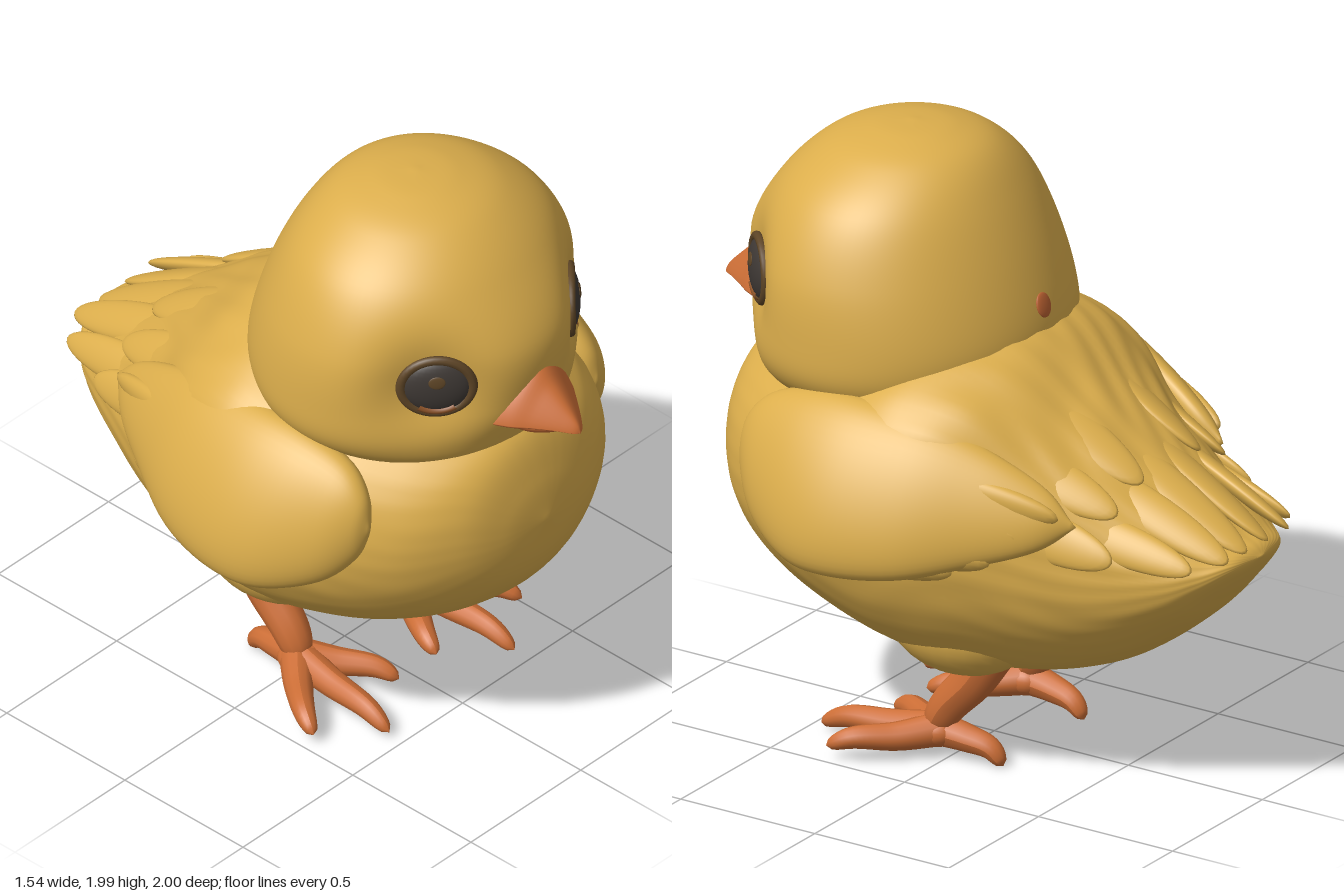
import * as THREE from 'three';
import { mergeVertices } from 'three/addons/utils/BufferGeometryUtils.js';

const mat = (name, color) => {
  const m = new THREE.MeshStandardMaterial({ color });
  m.name = name;
  return m;
};

// Smooth loft through elliptical sections [z, x, y, rx, ry, lean], listed from high z to low z.
function loft(sections, rings, sides, shape) {
  const size = 6;
  const data = new Float32Array(sections.flatMap(s => [...s, 0].slice(0, size)));
  const curve = new THREE.CubicInterpolant(sections.map((_, i) => i), data, size);
  const pos = [], index = [];
  for (let i = 0; i <= rings; i++) {
    const [z, x, y, rx, ry, lean] = curve.evaluate((i / rings) * (sections.length - 1));
    for (let j = 0; j < sides; j++) {
      const a = (j / sides) * Math.PI * 2;
      let u = Math.cos(a) * Math.max(rx, 0), v = Math.sin(a) * Math.max(ry, 0);
      if (shape) [u, v] = shape(u, v, a, z, ry);
      pos.push(x + u - lean * v, y + v, z);
      if (i < rings) {
        const k = (j + 1) % sides, p = i * sides, q = p + sides;
        index.push(p + j, q + j, p + k, q + j, q + k, p + k);
      }
    }
  }
  const g = new THREE.BufferGeometry();
  g.setAttribute('position', new THREE.Float32BufferAttribute(pos, 3));
  g.setIndex(index);
  const merged = mergeVertices(g, 1e-5);
  merged.computeVertexNormals();
  return merged;
}

// Round limb that tapers from radius r0 to r1 and closes at its far end.
function limb(points, r0, r1) {
  const path = new THREE.CatmullRomCurve3(points.map(p => new THREE.Vector3(...p)));
  const seg = 24, sides = 12;
  const g = new THREE.TubeGeometry(path, seg, 1, sides);
  const p = g.attributes.position, v = new THREE.Vector3();
  for (let i = 0; i <= seg; i++) {
    const t = i / seg, c = path.getPointAt(t);
    const r = (r0 + (r1 - r0) * t) * Math.sqrt(Math.max(0, 1 - t ** 10));
    for (let j = 0; j <= sides; j++) {
      const k = i * (sides + 1) + j;
      v.fromBufferAttribute(p, k).sub(c).multiplyScalar(r).add(c);
      p.setXYZ(k, v.x, v.y, v.z);
    }
  }
  g.computeVertexNormals();
  return g;
}

export function createModel() {
  const root = new THREE.Group();
  root.name = 'chick';
  const down = mat('yellowDown', 0xdcae4c);
  const orange = mat('orangeSkin', 0xcc6e36);
  const dark = mat('darkEye', 0x3f3935);
  const brown = mat('brownRim', 0x5e4526);
  const amber = mat('amberLid', 0x8f5428);
  const red = mat('redSpot', 0xbc6232);
  const ball = new THREE.SphereGeometry(1, 28, 18);

  const add = (name, geo, material, parent = root) => {
    const m = new THREE.Mesh(geo, material);
    m.name = name;
    parent.add(m);
    return m;
  };
  const feather = (name, a, b, w, t, roll) => {
    const from = new THREE.Vector3(...a), to = new THREE.Vector3(...b);
    const m = add(name, ball, down);
    m.position.copy(from).lerp(to, 0.5);
    m.lookAt(to);
    m.rotateZ(roll);
    m.scale.set(t, w, from.distanceTo(to) / 2);
  };

  // Body: [z, bottom, top, half width], with full shoulders and feather ridges on the back
  const body = [
    [0.865, 0.93, 0.93, 0], [0.84, 0.77, 1.08, 0.18], [0.78, 0.65, 1.23, 0.33],
    [0.65, 0.53, 1.3, 0.48], [0.45, 0.42, 1.36, 0.585], [0.2, 0.33, 1.42, 0.635],
    [0, 0.295, 1.46, 0.64], [-0.2, 0.31, 1.41, 0.595], [-0.4, 0.345, 1.26, 0.5],
    [-0.6, 0.43, 1.11, 0.405], [-0.8, 0.58, 0.96, 0.31], [-0.9, 0.69, 0.89, 0.235],
    [-0.97, 0.78, 0.86, 0.14], [-1, 0.83, 0.83, 0],
  ].map(([z, lo, hi, w]) => [z, 0, (lo + hi) / 2, w, (hi - lo) / 2]);
  add('body', loft(body, 110, 144, (u, v, a, z) => {
    const back = THREE.MathUtils.smoothstep(-z, -0.1, 0.3) * (0.45 + 0.55 * Math.sin(a));
    const ridge = Math.sin(20 * a + 2.5 * Math.sin(7 * z)) * Math.sin(11 * z + 3 * Math.sin(5 * a));
    const k = 1 + 0.016 * Math.max(back, 0.15) * ridge;
    const shoulder = v > 0 ? 0.14 * Math.sin(2 * a) ** 2 * Math.exp(-(((z - 0.05) / 0.45) ** 2)) : 0;
    return [u * k * (1 + shoulder), v * k];
  }), down);

  // Head: [height, 0, -z centre, half width, half depth], stood upright, with eye hollows
  const head = loft([
    [2, 0, -0.3, 0, 0], [1.985, 0, -0.3, 0.14, 0.14], [1.93, 0, -0.31, 0.285, 0.27],
    [1.8, 0, -0.33, 0.435, 0.385], [1.6, 0, -0.345, 0.525, 0.49], [1.4, 0, -0.315, 0.547, 0.515],
    [1.27, 0, -0.305, 0.53, 0.485], [1.18, 0, -0.3, 0.44, 0.44], [1.08, 0, -0.3, 0.25, 0.3],
    [1.03, 0, -0.3, 0, 0],
  ], 80, 96);
  head.rotateX(-Math.PI / 2);
  const hp = head.attributes.position, v = new THREE.Vector3();
  for (let i = 0; i < hp.count; i++) {
    v.fromBufferAttribute(hp, i);
    for (const s of [-1, 1]) {
      const d2 = v.distanceToSquared(new THREE.Vector3(s * 0.36, 1.51, 0.7));
      const dent = 0.088 * Math.exp(-d2 / 0.033);
      v.x -= s * 0.7 * dent;
      v.z -= 0.71 * dent;
    }
    hp.setXYZ(i, v.x, v.y, v.z);
  }
  head.computeVertexNormals();
  add('head', head, down);

  // Beak
  const beakShape = (u, h, a, z, ry) => h > 0 ? [u * (1 - 0.4 * h / Math.max(ry, 1e-4)), h] : [u, h * 0.2];
  add('upperBeak', loft([
    [1, 0, 1.33, 0, 0], [0.985, 0, 1.335, 0.024, 0.025], [0.94, 0, 1.345, 0.062, 0.06],
    [0.88, 0, 1.35, 0.108, 0.11], [0.82, 0, 1.35, 0.15, 0.165], [0.74, 0, 1.35, 0.178, 0.16],
    [0.66, 0, 1.35, 0.13, 0.12],
  ], 36, 36, beakShape), orange);
  add('lowerBeak', loft([
    [0.96, 0, 1.338, 0, 0], [0.92, 0, 1.335, 0.045, 0.03], [0.85, 0, 1.33, 0.09, 0.052],
    [0.76, 0, 1.33, 0.11, 0.058], [0.66, 0, 1.33, 0.1, 0.05],
  ], 20, 28), orange);

  // Small round spot at the nape
  const spot = add('napeSpot', ball, red);
  spot.position.set(0, 1.485, -0.184);
  spot.rotation.x = 0.3;
  spot.scale.set(0.036, 0.04, 0.009);

  const backFeathers = [
    [[0.07, 1.19, -0.38], [0.06, 0.855, -0.98], 0.07, 1.3],
    [[0.21, 1.1, -0.4], [0.17, 0.86, -0.985], 0.07, 0.9],
    [[0.35, 0.98, -0.3], [0.275, 0.85, -0.92], 0.07, 0.6],
    [[0.44, 0.98, -0.15], [0.39, 0.87, -0.7], 0.08, 0.4],
    [[0.38, 1.19, -0.1], [0.3, 0.99, -0.66], 0.08, 0.8],
    [[0.19, 1.33, -0.14], [0.16, 1.05, -0.66], 0.08, 1.15],
  ];
  const wingFeathers = [
    [[0.72, 0.86, 0.3], [0.61, 0.81, -0.25], 0.07],
    [[0.71, 0.92, 0.2], [0.565, 0.85, -0.36], 0.07],
    [[0.67, 1.01, 0.14], [0.51, 0.93, -0.46], 0.07],
    [[0.62, 1.11, 0.1], [0.45, 1, -0.54], 0.07],
  ];

  for (const s of [-1, 1]) {
    const side = s > 0 ? 'left' : 'right';
    const flip = ([x, y, z]) => [s * x, y, z];

    // Eye: dark ball, brown rim, amber lower lid and a small glint
    const eye = new THREE.Group();
    eye.name = side + 'Eye';
    eye.position.set(s * 0.299, 1.515, 0.667);
    eye.rotation.y = s * 0.77;
    eye.scale.x = 1.12;
    root.add(eye);
    add('eyeball', ball, dark, eye).scale.set(0.1, 0.1, 0.04);
    const rim = add('eyeRim', new THREE.TorusGeometry(0.1, 0.015, 10, 40), brown, eye);
    rim.position.z = 0.008;
    const lid = add('lowerLid', new THREE.TorusGeometry(0.085, 0.012, 8, 20, 1.3), amber, eye);
    lid.rotation.z = -Math.PI / 2 - 0.65;
    lid.position.z = 0.02;
    const glint = add('eyeGlint', ball, brown, eye);
    glint.position.set(0, 0.033, 0.037);
    glint.rotation.x = -0.12;
    glint.scale.set(0.024, 0.022, 0.004);

    // Folded wing, leaning out toward its lower edge
    add(side + 'Wing', loft([
      [0.59, 0.52, 1.03, 0, 0, 0], [0.56, 0.53, 1.03, 0.05, 0.11, 0.15], [0.47, 0.555, 1.02, 0.095, 0.2, 0.27],
      [0.3, 0.6, 1.01, 0.12, 0.255, 0.35], [0.12, 0.615, 1.01, 0.12, 0.26, 0.38],
      [-0.1, 0.585, 1.01, 0.105, 0.235, 0.38], [-0.3, 0.52, 1, 0.08, 0.17, 0.35],
      [-0.48, 0.45, 0.98, 0.05, 0.09, 0.3], [-0.58, 0.41, 0.97, 0, 0, 0],
    ].map(([z, x, y, rx, ry, lean]) => [z, s * x, y, rx, ry, s * lean]), 48, 48), down);
    wingFeathers.forEach(([a, b, w]) => feather(side + 'WingFeather', flip(a), flip(b), w, 0.045, s * 0.25));
    backFeathers.forEach(([a, b, w, roll]) => feather(side + 'BackFeather', flip(a), flip(b), w, 0.03, -s * roll));

    // Thigh, leg and toes
    const thigh = add(side + 'Thigh', ball, down);
    thigh.position.set(s * 0.26, 0.5, -0.06);
    thigh.scale.set(0.19, 0.18, 0.26);
    add(side + 'Leg', limb([[0.25, 0.42, -0.18], [0.25, 0.3, -0.1], [0.25, 0.19, 0], [0.255, 0.09, 0.06]].map(flip), 0.072, 0.058), orange);
    const toes = [
      [[0.25, 0.1, 0.03], [0.27, 0.085, 0.2], [0.28, 0.075, 0.36], [0.285, 0.035, 0.455]],
      [[0.25, 0.1, 0.03], [0.35, 0.085, 0.13], [0.44, 0.085, 0.24], [0.475, 0.055, 0.31]],
      [[0.25, 0.1, 0.03], [0.18, 0.085, 0.13], [0.11, 0.08, 0.24], [0.085, 0.055, 0.31]],
      [[0.25, 0.1, 0.06], [0.24, 0.085, -0.06], [0.23, 0.065, -0.14], [0.225, 0.015, -0.185]],
    ];
    toes.forEach(t => add(side + 'Toe', limb(t.map(flip), 0.056, 0.03), orange));
    const ankle = add(side + 'Ankle', ball, orange);
    ankle.position.set(s * 0.25, 0.095, 0.05);
    ankle.scale.set(0.07, 0.055, 0.08);
  }
  return root;
}
